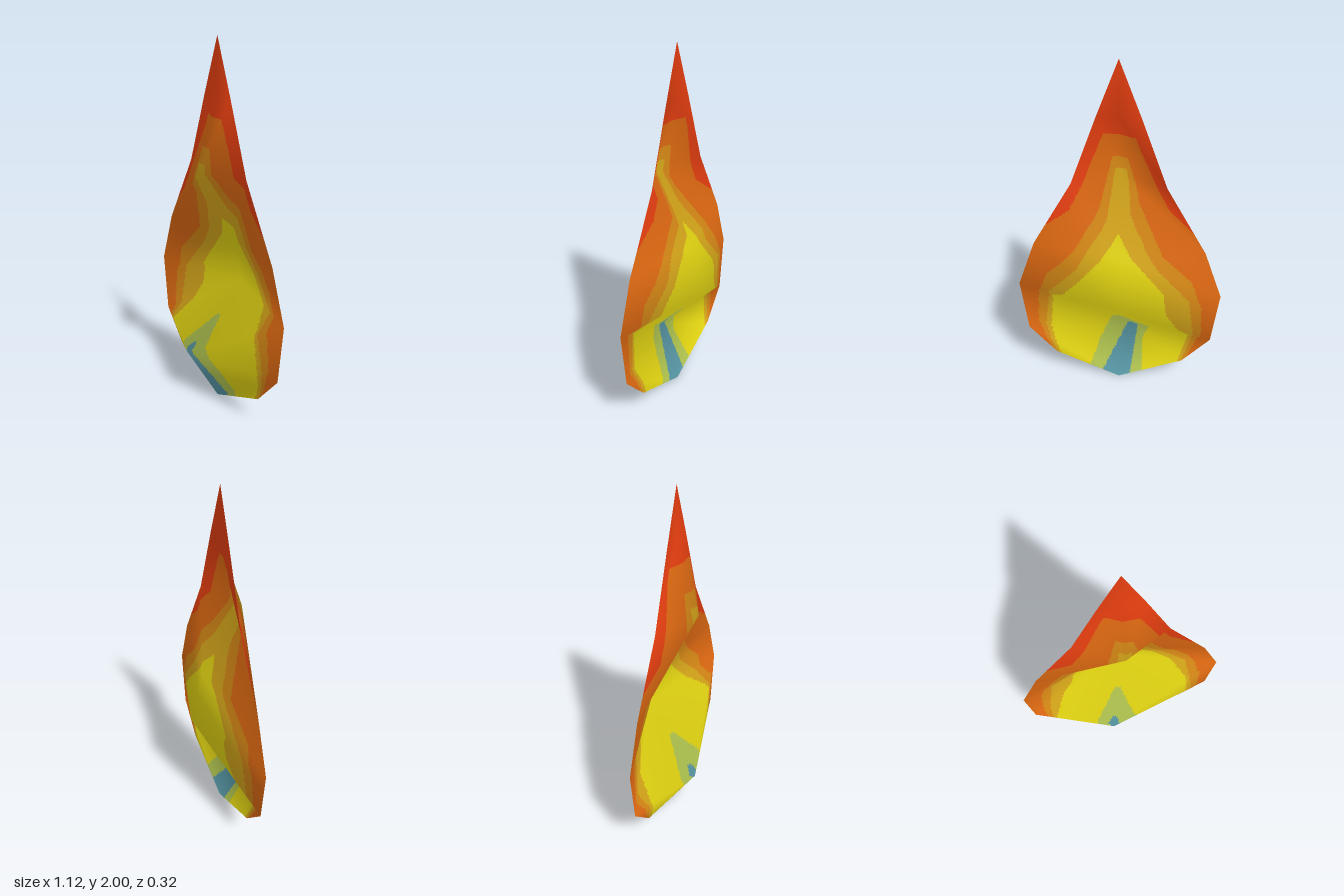
import * as THREE from 'three';

// Cross-rows of the folded sheet: half width, edge height, then centre x, y, z
const ROWS = [
  [0, 2, 0, 2, 0],
  [0.11, 1.71, 0, 1.71, 0],
  [0.245, 1.333, 0, 1.333, 0.125],
  [0.46, 0.95, 0, 0.95, -0.09],
  [0.56, 0.667, 0, 0.667, -0.167],
  [0.525, 0.345, -0.075, 0.29, 0.157],
  [0.37, 0.165, 0, 0, 0],
];
const EDGE_Z = 0.005;
const STEPS = 44;

// Colour zones from outermost to innermost; each row is height, left limit and,
// where the zone is lopsided, right limit
const ZONES = [
  { name: 'redTip', color: 0xe83f10, rows: [[2, -1], [0, -1]] },
  { name: 'orangeBand', color: 0xe06a12, rows: [[1.61, -0.08], [1.32, -0.19], [1.18, -0.26], [1.08, -0.38], [0.9, -0.7], [0, -0.7]] },
  { name: 'amberBand', color: 0xd98a16, rows: [[1.46, -0.04], [1.2, -0.1], [0.94, -0.24], [0.77, -0.4], [0.6, -0.46], [0.38, -0.47], [0.18, -0.39], [0, -0.32]] },
  { name: 'goldBand', color: 0xd8a81a, rows: [[1.38, -0.03], [1.14, -0.06], [0.85, -0.22], [0.66, -0.39], [0.36, -0.43], [0.17, -0.37], [0, -0.3]] },
  { name: 'yellowHeart', color: 0xe4d612, rows: [[1.07, 0], [0.92, -0.09], [0.72, -0.25, 0.26], [0.58, -0.27, 0.38], [0.34, -0.4], [0.17, -0.35], [0, -0.28]] },
  { name: 'paleGreenGlow', color: 0xb2c650, rows: [[0.5, -0.03, 0], [0.31, -0.17, 0.08], [0.23, -0.13, 0.12], [0, -0.14, 0.2]] },
  { name: 'blueCore', color: 0x5898a6, rows: [[0.345, -0.07, -0.05], [0.31, -0.1, -0.04], [0.06, -0.07, 0.09], [0, -0.06, 0.12]] },
];

function inside(rows, x, y) {
  const k = rows.findIndex(([h]) => h <= y);
  if (k < 1) return false;
  const [h0, l0, r0 = -l0] = rows[k - 1];
  const [h1, l1, r1 = -l1] = rows[k];
  const t = (h0 - y) / (h0 - h1);
  return x > l0 + (l1 - l0) * t && x < r0 + (r1 - r0) * t;
}

// Innermost zone that holds the point
function zoneAt(x, y) {
  return Math.max(0, ZONES.findLastIndex(({ rows }) => inside(rows, x, y)));
}

// Coarse folded sheet, three points per row, with smooth normals
function foldedSheet() {
  const points = [];
  const index = [];
  for (const [w, y, cx, cy, cz] of ROWS) points.push(-w, y, EDGE_Z, cx, cy, cz || EDGE_Z, w, y, EDGE_Z);
  for (let r = 0; r < ROWS.length - 1; r++) {
    for (let c = 0; c < 2; c++) {
      const a = r * 3 + c, b = a + 3;
      if (r > 0) index.push(a, b, a + 1); // the top row is a single point
      index.push(b, b + 1, a + 1);
    }
  }
  const sheet = new THREE.BufferGeometry();
  sheet.setAttribute('position', new THREE.Float32BufferAttribute(points, 3));
  sheet.setIndex(index);
  sheet.computeVertexNormals();
  return sheet;
}

export function createModel() {
  const flame = new THREE.Group();
  flame.name = 'flame';
  const sheet = foldedSheet();
  const { position, normal } = sheet.attributes;
  const faces = sheet.index.array;
  const parts = ZONES.map(() => ({ positions: [], normals: [] }));

  // Divide every fold finely and hand each small face to its colour zone
  for (let f = 0; f < faces.length; f += 3) {
    const ids = [faces[f], faces[f + 1], faces[f + 2]];
    const P = ids.map((i) => new THREE.Vector3().fromBufferAttribute(position, i));
    const N = ids.map((i) => new THREE.Vector3().fromBufferAttribute(normal, i));
    const blend = (V, [i, j]) => new THREE.Vector3()
      .addScaledVector(V[0], 1 - (i + j) / STEPS)
      .addScaledVector(V[1], i / STEPS)
      .addScaledVector(V[2], j / STEPS);
    const addFace = (...corners) => {
      const p = corners.map((k) => blend(P, k));
      const x = (p[0].x + p[1].x + p[2].x) / 3, y = (p[0].y + p[1].y + p[2].y) / 3;
      const part = parts[zoneAt(x, y)];
      corners.forEach((k, n) => {
        part.positions.push(...p[n].toArray());
        part.normals.push(...blend(N, k).normalize().toArray());
      });
    };
    for (let i = 0; i < STEPS; i++) {
      for (let j = 0; i + j < STEPS; j++) {
        addFace([i, j], [i + 1, j], [i, j + 1]);
        if (i + j < STEPS - 1) addFace([i + 1, j], [i + 1, j + 1], [i, j + 1]);
      }
    }
  }

  // One mesh for each colour zone
  ZONES.forEach(({ name, color }, i) => {
    const geometry = new THREE.BufferGeometry();
    geometry.setAttribute('position', new THREE.Float32BufferAttribute(parts[i].positions, 3));
    geometry.setAttribute('normal', new THREE.Float32BufferAttribute(parts[i].normals, 3));
    const material = new THREE.MeshStandardMaterial({ color, side: THREE.DoubleSide });
    material.name = name.replace(/[A-Z][a-z]+$/, '');
    const mesh = new THREE.Mesh(geometry, material);
    mesh.name = name;
    flame.add(mesh);
  });
  return flame;
}
